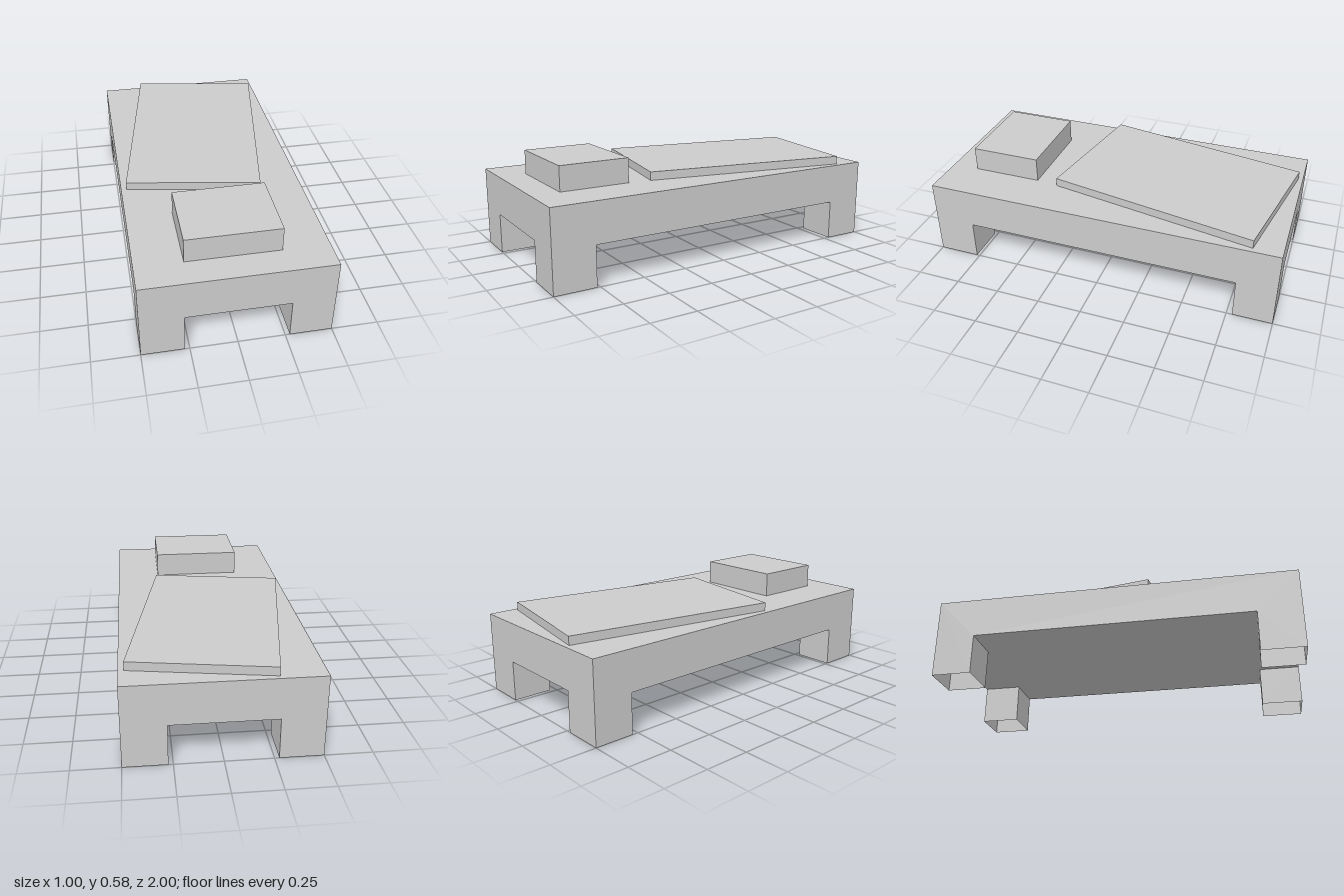
import * as THREE from 'three';

const TOP = 0.446, UNDER = 0.223;           // heights of the frame's top and underside
const HALF_W = 0.5, HALF_L = 1;             // half width and half length of the frame
const LEG_X = 0.274, FRONT_Z = 0.767, BACK_Z = -0.782; // inner faces of the legs

export function createModel() {
  const model = new THREE.Group();
  const material = new THREE.MeshStandardMaterial({
    color: 0xcccccc, flatShading: true, side: THREE.DoubleSide,
  });

  const add = (parent, name, geometry, x, y, z, rx = 0, ry = 0) => {
    const mesh = new THREE.Mesh(geometry, material);
    mesh.name = name;
    mesh.position.set(x, y, z);
    mesh.rotation.set(rx, ry, 0);
    parent.add(mesh);
  };
  const outline = (points) => new THREE.ShapeGeometry(
    new THREE.Shape(points.map(([x, y]) => new THREE.Vector2(x, y))));

  // Side of the frame: a rail with a leg at each end
  const panel = (half, a, b) => outline([
    [-half, 0], [a, 0], [a, UNDER], [b, UNDER], [b, 0], [half, 0], [half, TOP], [-half, TOP],
  ]);

  // Frame shell: four sides, top and a cross-shaped underside
  const frame = new THREE.Group();
  frame.name = 'bedFrame';
  model.add(frame);
  const endPanel = panel(HALF_W, -LEG_X, LEG_X);
  add(frame, 'frontPanel', endPanel, 0, 0, HALF_L);
  add(frame, 'backPanel', endPanel, 0, 0, -HALF_L, 0, Math.PI);
  add(frame, 'rightPanel', panel(HALF_L, BACK_Z, FRONT_Z), -HALF_W, 0, 0, 0, -Math.PI / 2);
  add(frame, 'leftPanel', panel(HALF_L, -FRONT_Z, -BACK_Z), HALF_W, 0, 0, 0, Math.PI / 2);
  add(frame, 'bedTop', new THREE.PlaneGeometry(2 * HALF_W, 2 * HALF_L), 0, TOP, 0, -Math.PI / 2);
  const underside = outline([
    [-LEG_X, -HALF_L], [LEG_X, -HALF_L], [LEG_X, BACK_Z], [HALF_W, BACK_Z],
    [HALF_W, FRONT_Z], [LEG_X, FRONT_Z], [LEG_X, HALF_L], [-LEG_X, HALF_L],
    [-LEG_X, FRONT_Z], [-HALF_W, FRONT_Z], [-HALF_W, BACK_Z], [-LEG_X, BACK_Z],
  ]);
  add(frame, 'underside', underside, 0, UNDER, 0, Math.PI / 2);

  // Inner walls of the four hollow legs, open at the bottom
  const legW = HALF_W - LEG_X;
  for (const sx of [-1, 1]) {
    for (const [sz, inner] of [[1, FRONT_Z], [-1, BACK_Z]]) {
      const leg = new THREE.Group();
      leg.name = (sz > 0 ? 'front' : 'back') + (sx > 0 ? 'Left' : 'Right') + 'Leg';
      frame.add(leg);
      const depth = HALF_L - Math.abs(inner);
      add(leg, 'legInnerSide', new THREE.PlaneGeometry(depth, UNDER),
        sx * LEG_X, UNDER / 2, inner + sz * depth / 2, 0, -sx * Math.PI / 2);
      add(leg, 'legInnerEnd', new THREE.PlaneGeometry(legW, UNDER),
        sx * (LEG_X + legW / 2), UNDER / 2, inner, 0, sz > 0 ? Math.PI : 0);
    }
  }

  // Pillow and askew blanket resting on the top
  const pillowH = 0.137, blanketH = 0.047;
  add(model, 'pillow', new THREE.BoxGeometry(0.5, pillowH, 0.394), 0, TOP + pillowH / 2, 0.648);
  add(model, 'blanket', new THREE.BoxGeometry(0.746, blanketH, 1.188),
    0, TOP + blanketH / 2, -0.325, 0, -Math.PI / 18);

  return model;
}
